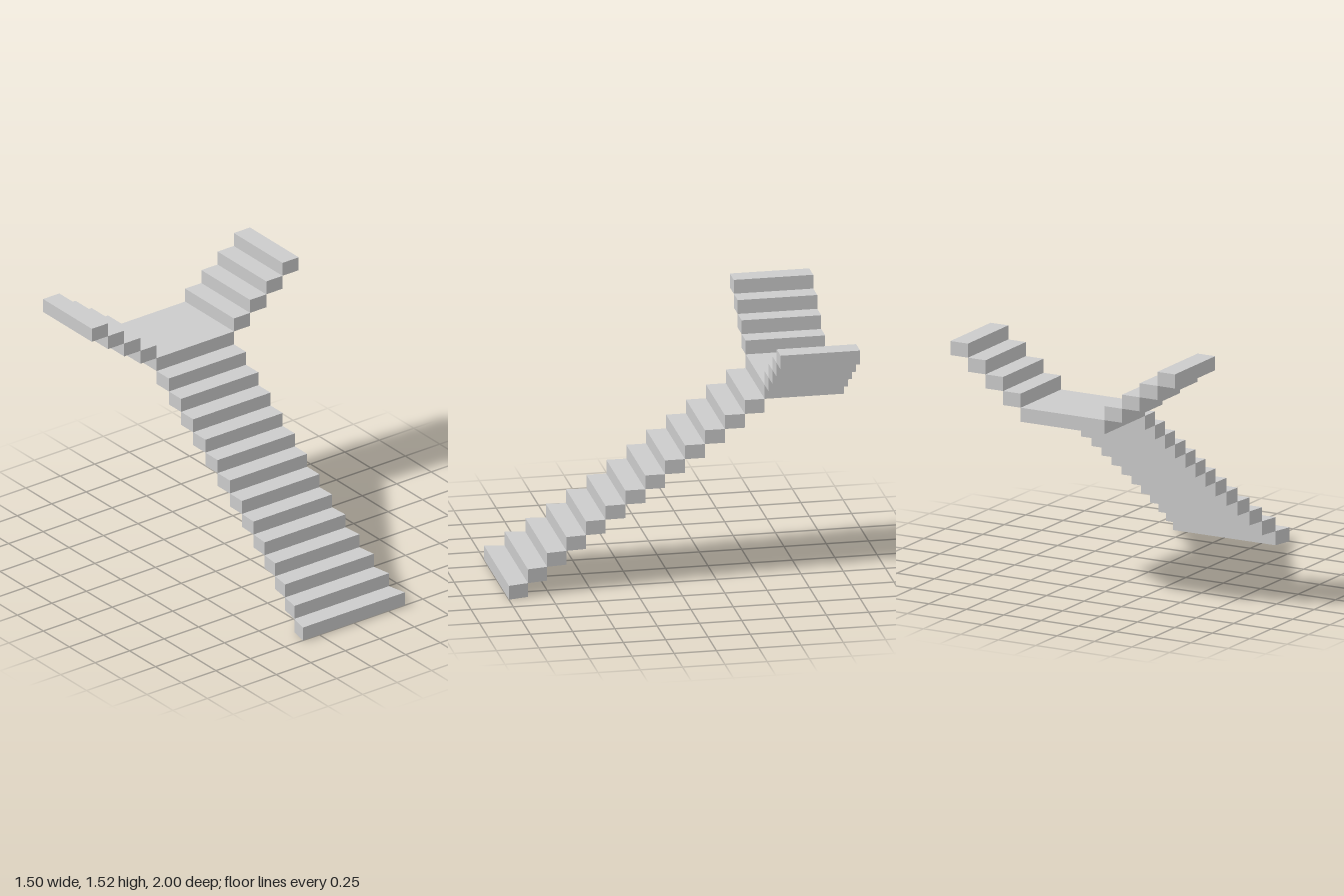
import * as THREE from 'three';

const RISE = 1.519 / 18;      // height of one step
const LOWER = 13;             // steps below the landing
const UPPER = 4;              // steps in each side flight
const HALF = 0.28;            // half width of the straight run
const LANDING_FRONT = -0.53;
const TREAD = (1 - LANDING_FRONT) / LOWER;
const SIDE_TREAD = (0.75 - HALF) / UPPER;

const material = new THREE.MeshStandardMaterial({ color: 0xcccccc, flatShading: true });

// Half width of the main flight at edge i, flaring out towards the floor
const halfWidth = (i) => HALF + 0.09 * Math.pow(Math.max(0, 1 - i / 7), 2.3);

// Block one rise high, whose front and back edges may differ in width
function addBlock(parent, name, x, level, zFront, zBack, halfFront, halfBack) {
  const depth = zFront - zBack;
  const geometry = new THREE.BoxGeometry(1, RISE, depth);
  const p = geometry.attributes.position;
  for (let i = 0; i < p.count; i++) {
    p.setX(i, Math.sign(p.getX(i)) * (p.getZ(i) > 0 ? halfFront : halfBack));
  }
  geometry.computeVertexNormals();
  const mesh = new THREE.Mesh(geometry, material);
  mesh.name = name;
  mesh.position.set(x, (level + 0.5) * RISE, (zFront + zBack) / 2);
  parent.add(mesh);
}

export function createModel() {
  const model = new THREE.Group();
  model.name = 'splitStaircase';

  // Main flight climbing to the back
  const mainFlight = new THREE.Group();
  mainFlight.name = 'mainFlight';
  for (let i = 0; i < LOWER; i++) {
    const z = 1 - i * TREAD;
    addBlock(mainFlight, `mainStep${i + 1}`, 0, i, z, z - TREAD, halfWidth(i), halfWidth(i + 1));
  }
  model.add(mainFlight);

  // Landing
  addBlock(model, 'landing', 0, LOWER, LANDING_FRONT, -1, HALF, HALF);

  // Side flights rising left and right from the landing
  for (const [side, name] of [[1, 'left'], [-1, 'right']]) {
    const flight = new THREE.Group();
    flight.name = `${name}Flight`;
    for (let i = 0; i < UPPER; i++) {
      const x = side * (HALF + (i + 0.5) * SIDE_TREAD);
      addBlock(flight, `${name}Step${i + 1}`, x, LOWER + 1 + i, LANDING_FRONT, -1, SIDE_TREAD / 2, SIDE_TREAD / 2);
    }
    model.add(flight);
  }
  return model;
}
